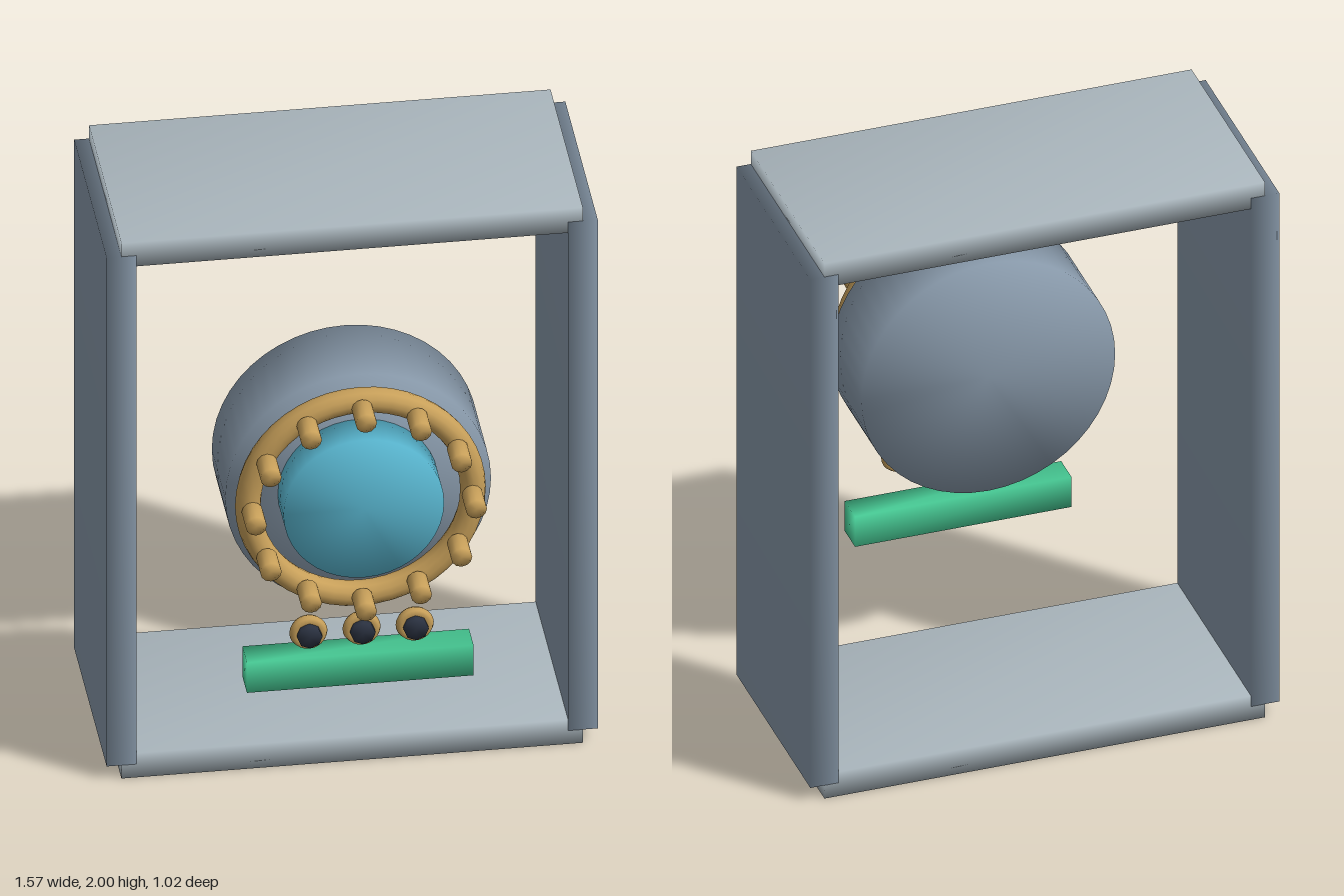
import * as THREE from 'three';
import { mergeVertices } from 'three/addons/utils/BufferGeometryUtils.js';

const paint = (name, color) => {
  const m = new THREE.MeshStandardMaterial({ color });
  m.name = name;
  return m;
};

// Weld corners so that shading runs softly over the edges
function soften(geometry) {
  geometry.deleteAttribute('uv');
  geometry.deleteAttribute('normal');
  const welded = mergeVertices(geometry);
  welded.computeVertexNormals();
  return welded;
}

const softBox = (w, h, d) => soften(new THREE.BoxGeometry(w, h, d));

// Cylinder lying along z, from z = back to z = front
const disc = (radius, back, front, sides) =>
  soften(new THREE.CylinderGeometry(radius, radius, front - back, sides)
    .rotateX(Math.PI / 2)
    .translate(0, 0, (front + back) / 2));

export function createModel() {
  const steel = paint('blue steel', 0x8899aa);
  const pale = paint('pale steel', 0xaab6bd);
  const brass = paint('brass', 0xc8a05a);
  const glass = paint('blue glass', 0x5ab8d2);
  const green = paint('green', 0x48cc96);
  const dark = paint('dark lens', 0x2a3140);

  const model = new THREE.Group();
  model.name = 'portholeCabinet';

  const add = (name, geometry, material, x = 0, y = 0, z = 0, parent = model) => {
    const mesh = new THREE.Mesh(geometry, material);
    mesh.name = name;
    mesh.position.set(x, y, z);
    parent.add(mesh);
    return mesh;
  };

  // Open frame: two upright panels between a top and a bottom panel
  const upright = softBox(0.095, 1.9, 0.712);
  add('leftPanel', upright, steel, 0.738, 1, -0.155);
  add('rightPanel', upright, steel, -0.738, 1, -0.155);
  const level = softBox(1.476, 0.09, 0.71);
  add('topPanel', level, pale, 0, 1.955, -0.155);
  add('bottomPanel', level, pale, 0, 0.045, -0.155);

  // Round porthole with drum, glass, ring and bolts
  const porthole = new THREE.Group();
  porthole.name = 'porthole';
  porthole.position.y = 1.1;
  model.add(porthole);
  add('drum', disc(0.425, 0.035, 0.33, 48), steel, 0, 0, 0, porthole);
  add('glass', disc(0.257, 0.32, 0.455, 40), glass, 0, 0, 0, porthole);
  add('ring', new THREE.TorusGeometry(0.36, 0.041, 12, 48), brass, 0, 0, 0.38, porthole);
  const bolt = disc(0.034, 0.42, 0.51, 12);
  for (let i = 0; i < 12; i++) {
    const a = (i / 12) * Math.PI * 2;
    add('bolt', bolt, brass, 0.352 * Math.cos(a), 0.352 * Math.sin(a), 0, porthole);
  }

  // Row of small indicator lamps
  const rim = new THREE.TorusGeometry(0.042, 0.019, 8, 24);
  const lens = disc(0.04, 0.385, 0.442, 8);
  for (const x of [-0.17, 0, 0.17]) {
    add('lampRim', rim, brass, x, 0.625, 0.405);
    add('lampLens', lens, dark, x, 0.625, 0);
  }

  // Display bar below the lamps
  add('displayBar', softBox(0.725, 0.112, 0.1), green, 0, 0.452, 0.327);

  return model;
}
